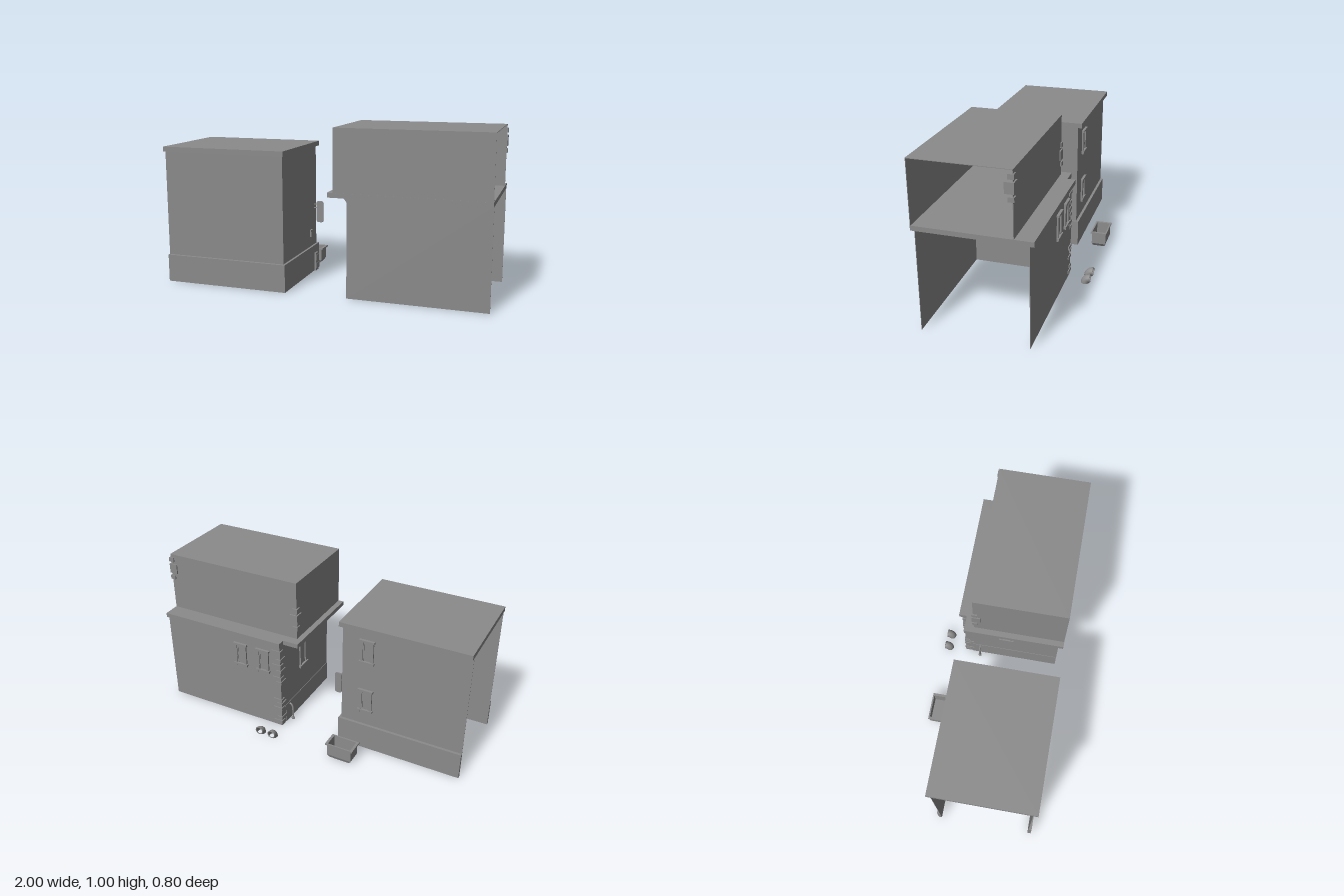
import * as THREE from 'three';

const mat = new THREE.MeshStandardMaterial({ color: 0x8b8b8b, flatShading: true, side: THREE.DoubleSide });
const smooth = new THREE.MeshStandardMaterial({ color: 0x8b8b8b, side: THREE.DoubleSide });

function add(parent, name, geometry, material = mat) {
  const mesh = new THREE.Mesh(geometry, material);
  mesh.name = name;
  parent.add(mesh);
  return mesh;
}

function group(parent, name) {
  const g = new THREE.Group();
  g.name = name;
  parent.add(g);
  return g;
}

// Box given by its limits
function block(parent, name, x0, x1, y0, y1, z0, z1) {
  const mesh = add(parent, name, new THREE.BoxGeometry(Math.abs(x1 - x0), y1 - y0, z1 - z0));
  mesh.position.set((x0 + x1) / 2, (y0 + y1) / 2, (z0 + z1) / 2);
  return mesh;
}

// Three walls of thickness t leaving one end open; side is the x of the closed end
function shell(parent, name, open, side, y0, y1, back, front, t = 0.003) {
  const inner = side + Math.sign(open - side) * t;
  block(parent, name + 'Back', open, side, y0, y1, back, back + t);
  block(parent, name + 'Front', open, side, y0, y1, front - t, front);
  block(parent, name + 'Side', inner, side, y0, y1, back + t, front - t);
}

// Stone wrapping a back corner at (x, z): one thin slab on each face, s points along the back wall
function cornerStone(parent, x, z, s, y, half, alongX, alongZ, proud) {
  const stone = group(parent, 'cornerStone');
  block(stone, 'backFace', x - s * proud, x + s * alongX, y - half, y + half, z - proud, z);
  block(stone, 'sideFace', x - s * proud, x, y - half, y + half, z, z + alongZ);
}

// Window facing -z, origin at its bottom centre on the wall
function makeWindow(parent, x, y, z, h, turn = 0) {
  const w = group(parent, 'window');
  block(w, 'pane', -0.032, 0.032, 0.015, h - 0.01, -0.002, 0);
  block(w, 'lintel', -0.048, 0.048, h - 0.012, h, -0.016, 0);
  block(w, 'sill', -0.048, 0.048, 0.008, 0.02, -0.016, 0);
  for (const s of [-1, 1]) {
    block(w, 'jamb', s * 0.033 - 0.008, s * 0.033 + 0.008, 0.02, h - 0.012, -0.01, 0);
    block(w, 'innerFrame', s * 0.022 - 0.003, s * 0.022 + 0.003, 0.02, h - 0.012, -0.005, 0);
    block(w, 'sillBracket', s * 0.037 - 0.007, s * 0.037 + 0.007, 0, 0.008, -0.013, 0);
  }
  w.position.set(x, y, z);
  w.rotation.y = turn;
}

export function createModel() {
  const model = new THREE.Group();
  model.name = 'twoBuildings';

  // Lower flat-roofed building
  const hall = group(model, 'flatRoofBuilding');
  shell(hall, 'wall', -1, -0.228, 0.17, 0.82, -0.19, 0.372);
  shell(hall, 'plinth', -1, -0.214, 0, 0.17, -0.207, 0.39, 0.02);
  block(hall, 'roof', -1, -0.214, 0.82, 0.85, -0.217, 0.398);
  makeWindow(hall, -0.385, 0.6, -0.19, 0.162);
  makeWindow(hall, -0.385, 0.26, -0.19, 0.162);

  // Hanging sign and boxes on its side wall
  const sign = group(hall, 'hangingSign');
  const w = 0.0225, h = 0.07, r = 0.012;
  const board = new THREE.Shape();
  board.moveTo(-w + r, -h);
  board.absarc(w - r, -h + r, r, -Math.PI / 2, 0);
  board.absarc(w - r, h - r, r, 0, Math.PI / 2);
  board.absarc(-w + r, h - r, r, Math.PI / 2, Math.PI);
  board.absarc(-w + r, -h + r, r, Math.PI, Math.PI * 1.5);
  add(sign, 'signBoard', new THREE.ExtrudeGeometry(board, { depth: 0.008, bevelEnabled: false, curveSegments: 4 }))
    .position.set(-0.1875, 0.39, -0.159);
  for (const y of [0.415, 0.44]) block(sign, 'signArm', -0.23, -0.205, y - 0.003, y + 0.003, -0.158, -0.152);
  block(hall, 'wallBox', -0.228, -0.218, 0.235, 0.282, -0.11, -0.07);
  block(hall, 'meterBox', -0.214, -0.202, 0, 0.118, -0.16, -0.115);
  block(hall, 'meterPanel', -0.202, -0.199, 0.015, 0.05, -0.152, -0.123);
  block(hall, 'meterPanel', -0.202, -0.199, 0.065, 0.105, -0.152, -0.123);

  // Two-storey building
  const house = group(model, 'twoStoreyBuilding');
  shell(house, 'lowerWall', 0.992, 0.165, 0, 0.6, -0.248, 0.372);
  shell(house, 'upperWall', 0.992, 0.09, 0.625, 0.993, -0.165, 0.395);
  block(house, 'upperRoof', 0.09, 0.992, 0.993, 0.996, -0.165, 0.395);
  block(house, 'floorSlab', 0.155, 0.992, 0.597, 0.625, -0.27, 0.396);
  block(house, 'floorSlabOverhang', 0.055, 0.155, 0.597, 0.625, -0.222, 0.396);
  block(house, 'sidePlinth', 0.162, 0.165, 0, 0.13, -0.2, 0.37);
  makeWindow(house, 0.447, 0.378, -0.248, 0.164);
  makeWindow(house, 0.286, 0.378, -0.248, 0.164);
  makeWindow(house, 0.165, 0.305, 0.03, 0.225, Math.PI / 2);

  // Sloped bracket carrying the overhang
  const brace = new THREE.Shape([[0.165, 0.495], [0.165, 0.597], [0.085, 0.597]].map(p => new THREE.Vector2(...p)));
  add(house, 'overhangBracket', new THREE.ExtrudeGeometry(brace, { depth: 0.025, bevelEnabled: false }))
    .position.z = 0.225;

  // Corner stones on the lower storey, long and short in turn
  [0.03, 0.06, 0.13, 0.165, 0.195, 0.325, 0.36, 0.41, 0.45, 0.49, 0.55].forEach((y, i) => {
    const [lx, lz] = i % 2 ? [0.03, 0.055] : [0.055, 0.03];
    cornerStone(house, 0.165, -0.248, 1, y, 0.009, lx, lz, 0.006);
  });

  // Corner stone clusters on the upper storey
  for (const [x, s, y] of [[0.992, -1, 0.9], [0.09, 1, 0.755]]) {
    for (const [dy, half, len] of [[-0.06, 0.013, 0.026], [0, 0.031, 0.044], [0.06, 0.014, 0.026]]) {
      cornerStone(house, x, -0.165, s, y + dy, half, len, len, 0.008);
    }
  }

  // Drain pipe by the back corner
  const drain = new THREE.CatmullRomCurve3([[0.166, 0.115], [0.152, 0.11], [0.142, 0.092], [0.14, 0.05], [0.14, 0]]
    .map(([x, y]) => new THREE.Vector3(x, y, -0.15)));
  add(house, 'drainPipe', new THREE.TubeGeometry(drain, 16, 0.006, 8), smooth);
  add(house, 'drainFoot', new THREE.CylinderGeometry(0.011, 0.011, 0.01, 10)).position.set(0.14, 0.005, -0.15);

  // Pair of wide elbow vents
  for (const x of [0.16, 0.247]) {
    const vent = group(model, 'elbowVent');
    const elbow = add(vent, 'elbow', new THREE.TorusGeometry(0.03, 0.026, 12, 8, Math.PI / 2), smooth);
    elbow.rotation.y = -Math.PI / 2;
    const rim = add(vent, 'mouthRim', new THREE.TorusGeometry(0.024, 0.003, 6, 16), smooth);
    rim.position.set(0, 0.03, 0.001);
    vent.position.set(x, 0, -0.396);
  }

  // Hollow trough with a rim and chamfered foot
  const profile = [[0, 0], [0.74, 0], [0.88, 0.02], [0.88, 0.094], [1, 0.094], [1, 0.103], [0.82, 0.103], [0.8, 0.025], [0, 0.025]]
    .map(([d, y]) => new THREE.Vector2(d * Math.SQRT2, y));
  const trough = new THREE.LatheGeometry(profile, 4).rotateY(Math.PI / 4).scale(0.09, 1, 0.052);
  add(model, 'trough', trough).position.set(-0.31, 0, -0.345);

  return model;
}
